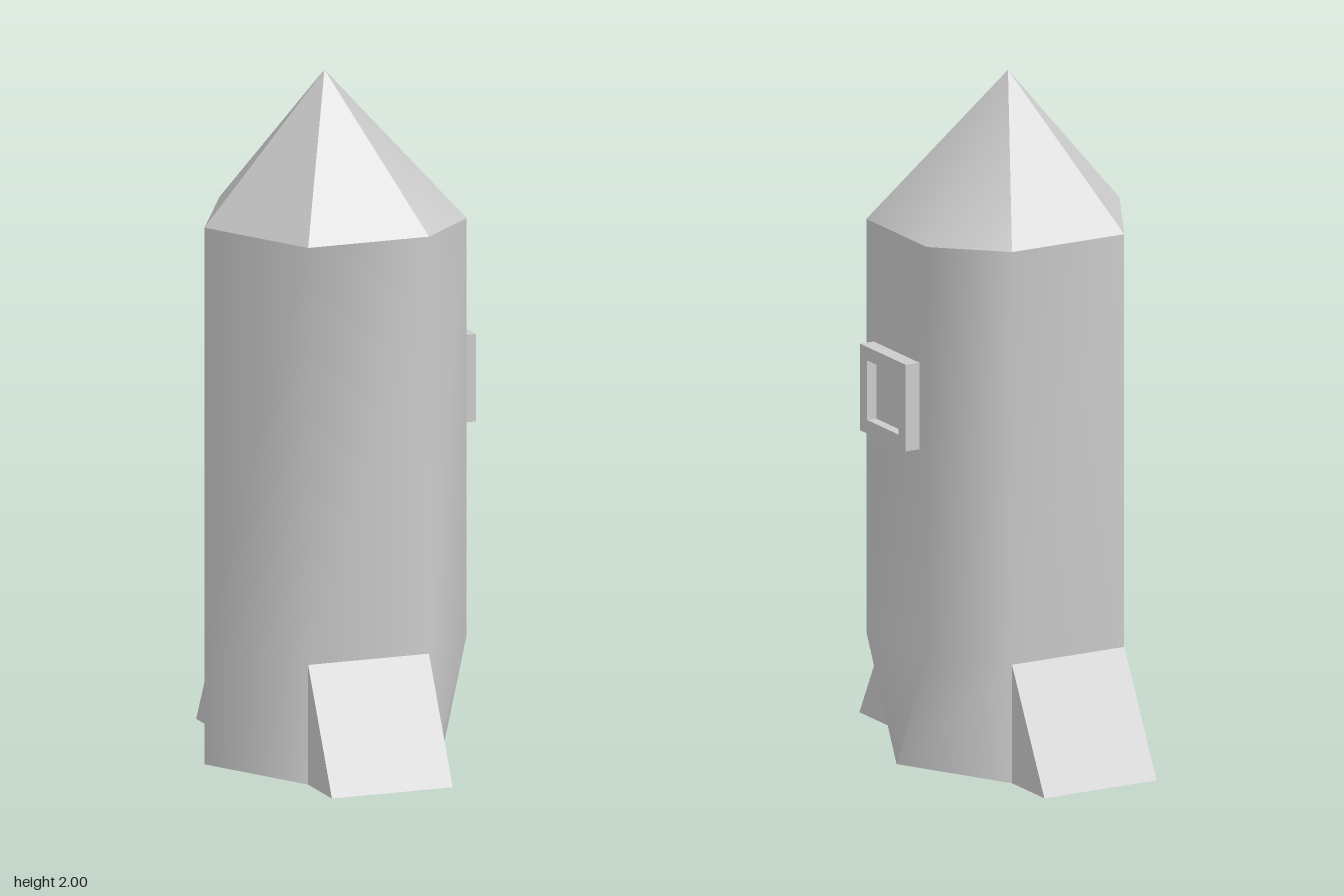
import * as THREE from 'three';

const MID = -0.0225;   // x of the rocket's axis
const TOP = 1.57;      // where the nose starts
const FIN = 0.35;      // fin height, and where the taper of the base ends

// outline seen from above as [x, z], running from +x towards +z
const HULL = [[0.345, -0.17], [0.345, 0.17], [0.1625, 0.338], [-0.2075, 0.338],
  [-0.39, 0], [-0.2075, -0.338], [0.1625, -0.338]];
// at the ground the two right-hand corners meet in one point
const FOOT = HULL.map(([x, z], i) => (i < 2 ? [x, 0] : [x, z]));

const ring = (outline, y) => outline.map(([x, z]) => [x, y, z]);

function buildGeometry(points, index) {
  const g = new THREE.BufferGeometry();
  g.setAttribute('position', new THREE.Float32BufferAttribute(points.flat(), 3));
  g.setIndex(index);
  g.computeVertexNormals();
  return g;
}

// smooth wall through a stack of outlines
function loft(rings) {
  const n = rings[0].length, index = [];
  for (let r = 0; r < rings.length - 1; r++) {
    for (let i = 0; i < n; i++) {
      const a = r * n + i, b = r * n + (i + 1) % n;
      index.push(a, a + n, b, b, a + n, b + n);
    }
  }
  return buildGeometry(rings.flat(), index);
}

// triangles from a run of points to a tip, sharing normals along the run
function fan(points, tip, flip = false) {
  const index = [], t = points.length;
  for (let i = 0; i < t - 1; i++) index.push(...(flip ? [i, i + 1, t] : [i, t, i + 1]));
  return buildGeometry([...points, tip], index);
}

export function createModel() {
  const model = new THREE.Group();
  const material = new THREE.MeshStandardMaterial({ color: 0xcccccc });
  const add = (name, geometry, parent = model) => {
    const mesh = new THREE.Mesh(geometry, material);
    mesh.name = name;
    parent.add(mesh);
    return mesh;
  };

  // hull and its underside
  add('hull', loft([ring(FOOT, 0), ring(HULL, FIN), ring(HULL, TOP)]));
  const foot = ring(FOOT, 0);
  add('hullBase', fan([...foot, foot[0]], [MID, 0, 0], true));

  // nose: flat facets, with the three on the right blended into one
  const nose = new THREE.Group();
  nose.name = 'nose';
  model.add(nose);
  const rim = ring(HULL, TOP), tip = [MID, 2, 0];
  add('noseRightSide', fan([rim[6], rim[0], rim[1], rim[2]], tip), nose);
  for (let i = 2; i < 6; i++) add('noseFacet', fan([rim[i], rim[i + 1]], tip), nose);

  // wedge fins at front and back
  const wedge = new THREE.Shape([[0.338, 0], [0.52, 0], [0.338, FIN]].map(p => new THREE.Vector2(...p)));
  const finGeometry = new THREE.ExtrudeGeometry(wedge, { depth: 0.37, bevelEnabled: false });
  finGeometry.translate(0, 0, -0.185).rotateY(-Math.PI / 2);
  for (const [name, turn] of [['frontFin', 0], ['backFin', Math.PI]]) {
    const fin = add(name, finGeometry);
    fin.position.x = MID;
    fin.rotation.y = turn;
  }

  // square window: raised frame around a recessed pane
  const square = (h, Type) => new Type([[-h, -h], [h, -h], [h, h], [-h, h]].map(p => new THREE.Vector2(...p)));
  const frameShape = square(0.128, THREE.Shape);
  frameShape.holes.push(square(0.088, THREE.Path));
  const windowGroup = new THREE.Group();
  windowGroup.name = 'window';
  windowGroup.position.set(0.345, 1.09, 0);
  windowGroup.rotation.y = Math.PI / 2;
  model.add(windowGroup);
  add('windowFrame', new THREE.ExtrudeGeometry(frameShape, { depth: 0.045, bevelEnabled: false }), windowGroup);
  add('windowPane', new THREE.BoxGeometry(0.176, 0.176, 0.015), windowGroup).position.z = 0.0075;

  return model;
}
